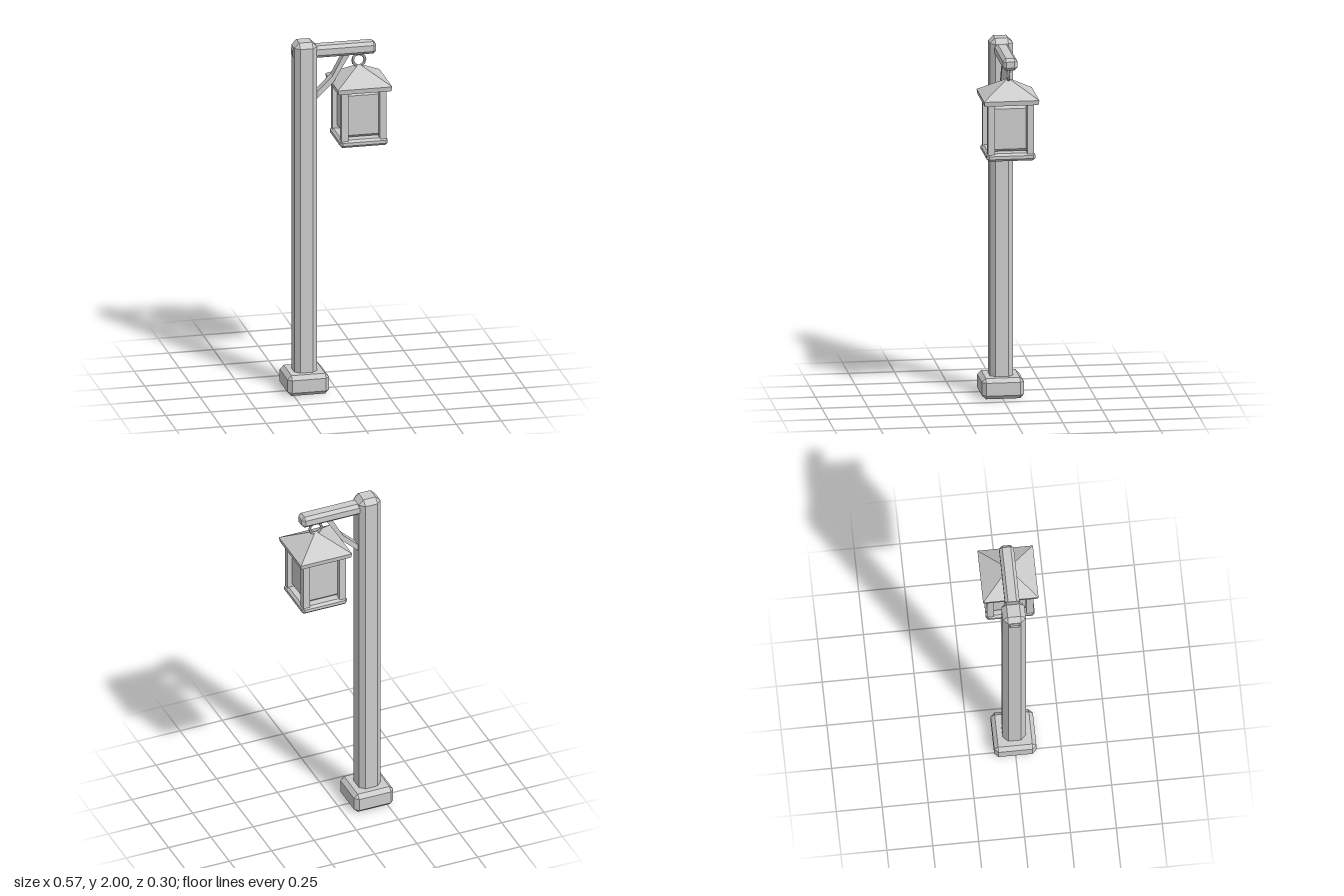
import * as THREE from 'three';
import { ConvexGeometry } from 'three/addons/geometries/ConvexGeometry.js';

// Box with flat chamfers on all edges, given by its min and max corners
function chamferBox(min, max, bevel) {
  const points = [];
  for (const sx of [0, 1]) for (const sy of [0, 1]) for (const sz of [0, 1]) {
    const s = [sx, sy, sz];
    for (let face = 0; face < 3; face++) {
      const p = s.map((side, i) => {
        const inset = i === face ? 0 : bevel;
        return side ? max[i] - inset : min[i] + inset;
      });
      points.push(new THREE.Vector3(...p));
    }
  }
  return new ConvexGeometry(points);
}

// Solid hull of stacked squares: [y, half width]
function squareStack(levels) {
  const points = [];
  for (const [y, h] of levels)
    for (const x of [-h, h]) for (const z of [-h, h]) points.push(new THREE.Vector3(x, y, z));
  return new ConvexGeometry(points);
}

export function createModel() {
  const model = new THREE.Group();
  model.name = 'lampPost';
  const grey = new THREE.MeshStandardMaterial({ color: 0xcccccc });
  grey.name = 'light grey';

  const add = (name, geometry, parent = model) => {
    const mesh = new THREE.Mesh(geometry, grey);
    mesh.name = name;
    parent.add(mesh);
    return mesh;
  };

  // Footing, post and arm
  add('footing', chamferBox([-0.285, 0, -0.116], [-0.054, 0.116, 0.114], 0.022));
  add('post', chamferBox([-0.234, 0.03, -0.064], [-0.107, 2, 0.062], 0.028));
  add('arm', chamferBox([-0.24, 1.904, -0.041], [0.225, 1.972, 0.039], 0.017));

  // Bent brace under the arm
  const braceShape = new THREE.Shape([
    [-0.14, 1.637], [-0.108, 1.667], [-0.013, 1.757], [0.085, 1.92],
    [0.05, 1.92], [-0.02, 1.79], [-0.108, 1.705], [-0.14, 1.673],
  ].map(([x, y]) => new THREE.Vector2(x, y)));
  const brace = new THREE.ExtrudeGeometry(braceShape, { depth: 0.048, bevelEnabled: false });
  add('brace', brace.translate(0, 0, -0.025));

  // Hanging lantern
  const lantern = new THREE.Group();
  lantern.name = 'lantern';
  lantern.position.x = 0.133;
  model.add(lantern);

  add('lanternBase', chamferBox([-0.133, 1.41, -0.133], [0.133, 1.453, 0.133], 0.013), lantern);
  add('lanternGlass', chamferBox([-0.1, 1.458, -0.1], [0.1, 1.711, 0.1], 0.014), lantern);
  for (const x of [-1, 1]) for (const z of [-1, 1]) {
    add('cornerPost', new THREE.BoxGeometry(0.038, 0.29, 0.038), lantern)
      .position.set(x * 0.107, 1.59, z * 0.107);
  }
  add('lanternRoof', squareStack([[1.724, 0.147], [1.75, 0.151], [1.838, 0.01]]), lantern);

  // Ring between roof and arm
  const ring = new THREE.TorusGeometry(0.034, 0.008, 6, 12).toNonIndexed();
  ring.computeVertexNormals();
  add('hangingRing', ring, lantern).position.y = 1.867;

  return model;
}
